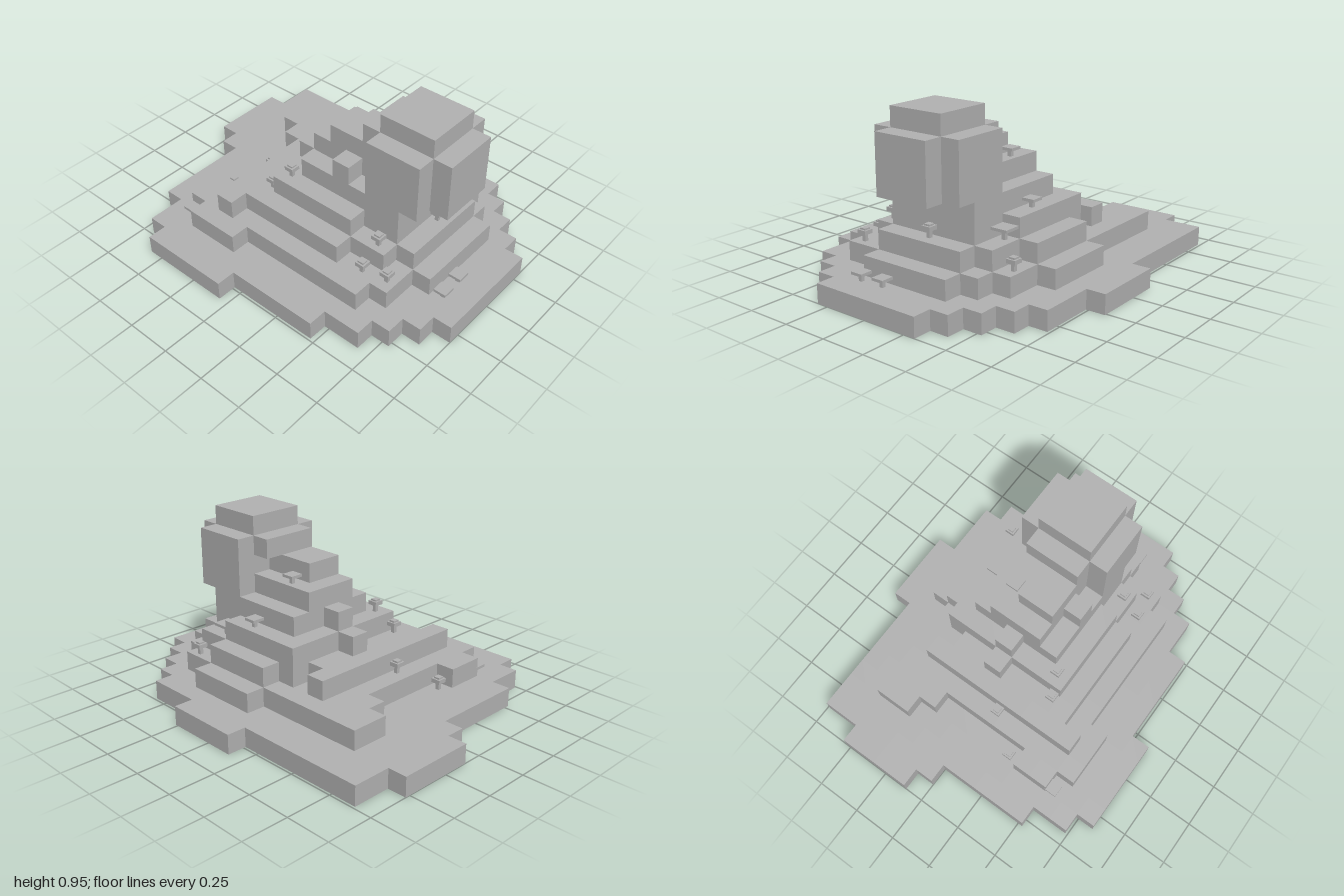
import * as THREE from 'three';

const U = 2 / 19; // edge of one terrain block
const NX = 19, NZ = 16;

// Ground plan of each terrace as overlapping rectangles [x0, x1, z0, z1] in block units
const shore = [[8, 12, 0, 1], [1, 15, 1, 8], [0, 2, 3, 7], [3, 16, 2, 14], [2, 17, 3, 13],
  [2, 18, 4, 12], [2, 19, 5, 11], [3, 14, 14, 15], [4, 9, 15, 16]];
const lowTerrace = [[9, 13, 2, 4], [3, 15, 3, 5], [4, 16, 4, 6], [5, 17, 5, 10], [5, 16, 10, 12],
  [4, 15, 11, 13], [5, 8, 13, 14]];
const midTerrace = [[9, 13, 3, 4], [6, 7, 4, 13], [8, 15, 4, 11], [7, 16, 5, 10], [7, 13, 5, 12]];
const highTerrace = [[8, 13, 4, 11], [8, 15, 5, 10], [7, 8, 7, 8]];
const shoulder = [[9, 15, 5, 10], [8, 9, 7, 8]];
const neckFoot = [[9, 13, 6, 9], [11, 12, 9, 10]];
const neckMiddle = [[10, 13, 7, 9]];
const neckTop = [[12, 13, 6, 9]];
const head = [[13, 16, 5, 10], [13, 17, 6, 9]];
const crown = [[13, 16, 6, 9]];

// Skin around stacked block levels, optionally open underneath
function blockSkin(levels, baseLevel, openBottom) {
  const filled = (x, y, z) => y >= 0 && y < levels.length &&
    levels[y].some(([a, b, c, d]) => x >= a && x < b && z >= c && z < d);
  const dirs = ['x', 'y', 'z'].flatMap((axis) => [1, -1].map((s) => new THREE.Vector3()[`set${axis.toUpperCase()}`](s)));
  const pos = [], idx = [];
  const addFace = (x, y, z, n) => {
    const u = new THREE.Vector3(n.y, n.z, n.x); // perpendicular to n
    const v = n.clone().cross(u);
    const base = pos.length / 3;
    for (const [i, j] of [[-1, -1], [1, -1], [1, 1], [-1, 1]]) {
      const p = new THREE.Vector3(x + 0.5 - NX / 2, y + baseLevel + 0.5, z + 0.5 - NZ / 2)
        .addScaledVector(n, 0.5).addScaledVector(u, i / 2).addScaledVector(v, j / 2).multiplyScalar(U);
      pos.push(p.x, p.y, p.z);
    }
    idx.push(base, base + 1, base + 2, base, base + 2, base + 3);
  };
  for (let y = 0; y < levels.length; y++) for (let z = 0; z < NZ; z++) for (let x = 0; x < NX; x++) {
    if (!filled(x, y, z)) continue;
    for (const n of dirs) {
      const underside = openBottom && y === 0 && n.y < 0;
      if (!underside && !filled(x + n.x, y + n.y, z + n.z)) addFace(x, y, z, n);
    }
  }
  const g = new THREE.BufferGeometry();
  g.setAttribute('position', new THREE.Float32BufferAttribute(pos, 3));
  g.setIndex(idx);
  g.computeVertexNormals();
  return g;
}

export function createModel() {
  const model = new THREE.Group();
  const stone = new THREE.MeshStandardMaterial({ color: 0xb3b3b3, side: THREE.DoubleSide });
  stone.name = 'grey stone';

  const addSkin = (name, levels, baseLevel, openBottom) => {
    const m = new THREE.Mesh(blockSkin(levels, baseLevel, openBottom), stone);
    m.name = name;
    model.add(m);
  };
  addSkin('terracedHill', [shore, lowTerrace, midTerrace, highTerrace, shoulder, neckFoot, neckMiddle, neckTop], 0, true);
  addSkin('overhangingSummit', [head, head, head, crown], 5, false);

  const block = (parent, name, w, y0, y1) => {
    const m = new THREE.Mesh(new THREE.BoxGeometry(w, y1 - y0, w), stone);
    m.name = name;
    m.position.y = (y0 + y1) / 2;
    parent.add(m);
  };
  const plant = (name, x, level, z) => {
    const g = new THREE.Group();
    g.name = name;
    g.position.set(x, level * U, z);
    model.add(g);
    return g;
  };

  // Small trees with a two-step crown: x, level, z
  for (const [x, level, z] of [[0.505, 2, -0.49], [-0.4, 2, 0.08], [-0.535, 1, 0.255], [-0.19, 3, 0.285],
    [-0.09, 4, 0.245], [0.51, 3, 0.27], [0.5, 2, 0.38], [0.635, 2, 0.355], [0.62, 3, -0.07]]) {
    const tree = plant('smallTree', x, level, z);
    block(tree, 'trunk', 0.02, 0, 0.042);
    block(tree, 'crown', 0.053, 0.04, 0.062);
    block(tree, 'crownTop', 0.034, 0.062, 0.071);
  }

  // Flat-topped trees: x, level, z, crown width, height
  for (const [x, level, z, w, h] of [[0.195, 4, -0.365, 0.07, 0.05], [0.42, 3, -0.37, 0.094, 0.065],
    [0.115, 6, -0.17, 0.07, 0.05], [0.84, 1, 0.035, 0.07, 0.05], [0.845, 1, 0.17, 0.07, 0.05],
    [-0.545, 1, 0.555, 0.07, 0.05]]) {
    const tree = plant('flatTree', x, level, z);
    block(tree, 'trunk', 0.02, 0, h - 0.014);
    block(tree, 'crown', w, h - 0.015, h);
  }
  return model;
}
